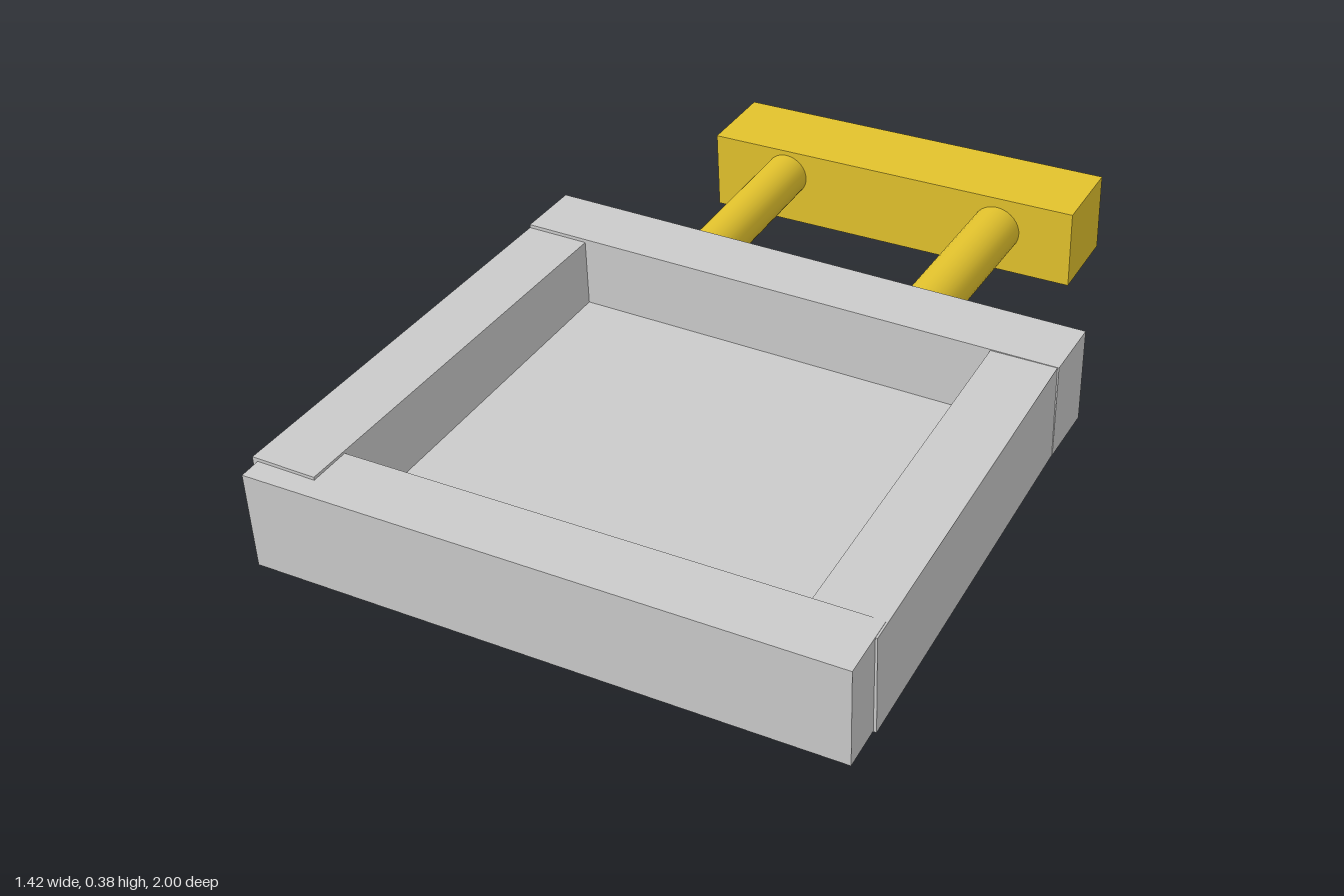
import * as THREE from 'three';

const grey = new THREE.MeshStandardMaterial({ color: 0xcccccc });
const gold = new THREE.MeshStandardMaterial({ color: 0xe3c32d });

function box(name, material, size, position, rotation = [0, 0, 0]) {
  const mesh = new THREE.Mesh(new THREE.BoxGeometry(...size), material);
  mesh.name = name;
  mesh.position.set(...position);
  mesh.rotation.set(...rotation);
  return mesh;
}

// Round bar between two points
function rod(name, radius, from, to) {
  const a = new THREE.Vector3(...from), b = new THREE.Vector3(...to);
  const mesh = new THREE.Mesh(new THREE.CylinderGeometry(radius, radius, a.distanceTo(b), 32), gold);
  mesh.name = name;
  mesh.position.copy(a).add(b).multiplyScalar(0.5);
  mesh.quaternion.setFromUnitVectors(new THREE.Vector3(0, 1, 0), b.sub(a).normalize());
  return mesh;
}

export function createModel() {
  const model = new THREE.Group();
  model.name = 'tray';

  // Slightly tilted tray: four roughly fitted beams around a thin floor
  const tray = new THREE.Group();
  tray.name = 'trayBody';
  tray.position.set(0, 0.202, 0.35);
  tray.rotation.set(-0.052, 0, 0.043);
  tray.add(
    box('frontBeam', grey, [1.39, 0.24, 0.155], [0.002, 0, 0.562], [0, 0.009, 0]),
    box('backBeam', grey, [1.39, 0.24, 0.165], [0.002, 0, -0.555], [0, -0.019, 0]),
    box('rightBeam', grey, [0.16, 0.24, 1.15], [-0.62, -0.001, 0.02], [-0.015, -0.01, 0]),
    box('leftBeam', grey, [0.16, 0.24, 1.12], [0.617, -0.002, -0.03], [0, 0.01, 0.01]),
    box('floor', grey, [1.15, 0.025, 1.05], [0, -0.073, 0]),
  );
  model.add(tray);

  // Handle: two rods and a grip bar
  const handle = new THREE.Group();
  handle.name = 'handle';
  handle.add(
    rod('rightRod', 0.057, [-0.305, 0.187, -0.25], [-0.308, 0.155, -0.85]),
    rod('leftRod', 0.063, [0.273, 0.2, -0.25], [0.287, 0.167, -0.85]),
    box('grip', gold, [1, 0.205, 0.215], [-0.012, 0.136, -0.884], [-0.05, -0.007, 0.053]),
  );
  model.add(handle);
  return model;
}
